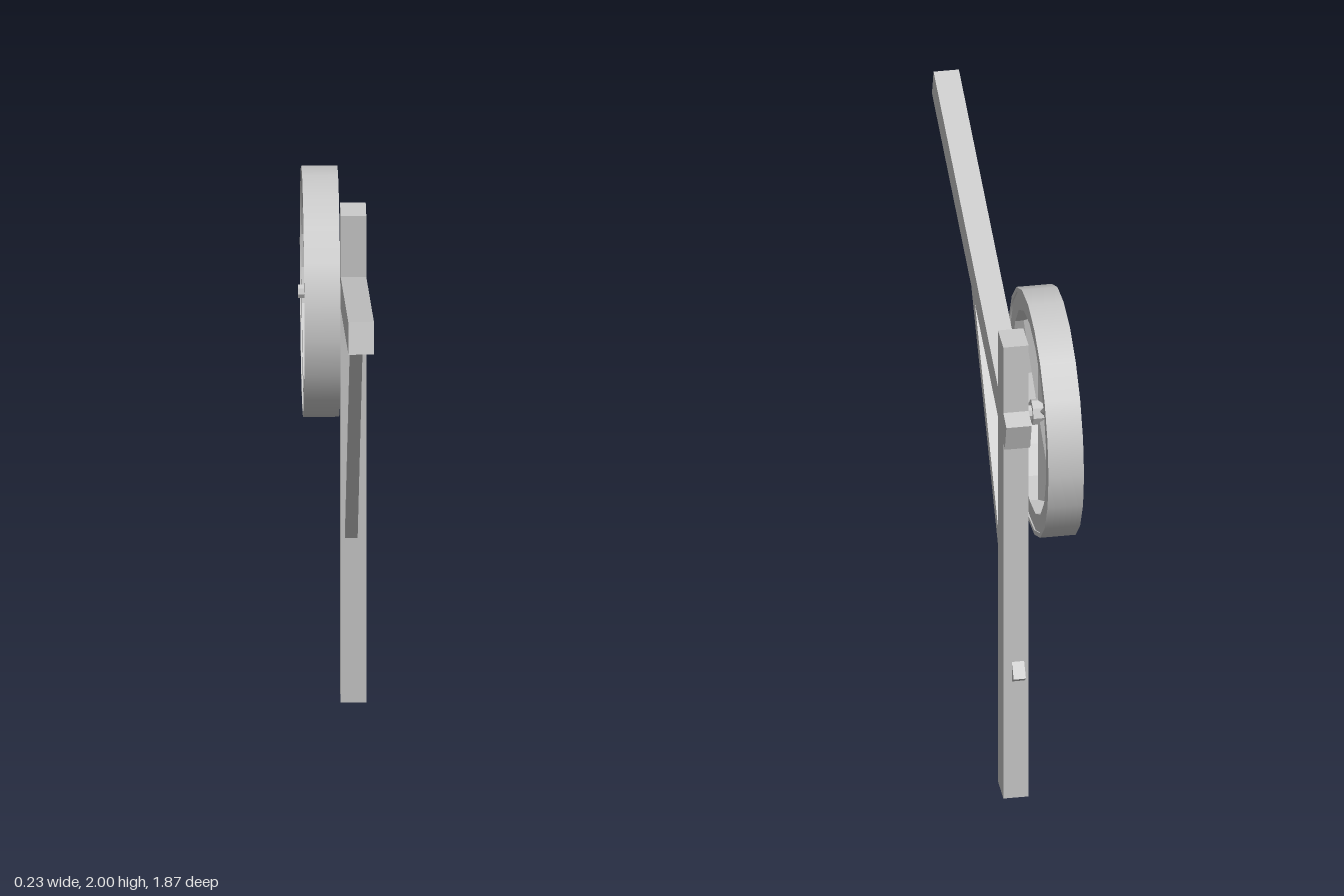
import * as THREE from 'three';

const mat = new THREE.MeshStandardMaterial({ color: 0xcccccc, flatShading: true });
const smooth = new THREE.MeshStandardMaterial({ color: 0xcccccc });

function add(parent, name, geometry, material = mat) {
  const mesh = new THREE.Mesh(geometry, material);
  mesh.name = name;
  parent.add(mesh);
  return mesh;
}

// Square timber running between two [z, y] points in the side plane
function beam(parent, name, x, width, thick, [z0, y0], [z1, y1]) {
  const length = Math.hypot(z1 - z0, y1 - y0);
  const mesh = add(parent, name, new THREE.BoxGeometry(width, thick, length));
  mesh.position.set(x, (y0 + y1) / 2, (z0 + z1) / 2);
  mesh.rotation.x = -Math.atan2(y1 - y0, z1 - z0);
}

// One rim block: a faceted arc with its joints lined up on two spokes
function fellowGeometry(inner, outer, width, start, sweep, facets) {
  const points = [];
  for (let i = 0; i <= facets; i++) {
    const a = start + (sweep * i) / facets;
    points.push(new THREE.Vector2(Math.cos(a) * outer, Math.sin(a) * outer));
  }
  for (let i = facets; i >= 0; i--) {
    const a = start + (sweep * i) / facets;
    points.push(new THREE.Vector2(Math.cos(a) * inner, Math.sin(a) * inner));
  }
  const g = new THREE.ExtrudeGeometry(new THREE.Shape(points), { depth: width, bevelEnabled: false });
  return g.translate(0, 0, -width / 2);
}

// Wheel built around local z, later turned so its axle lies along x
function buildWheel() {
  const wheel = new THREE.Group();
  wheel.name = 'wheel';

  // Thin outer band: smooth around, sharp at its corners
  const R = 0.428, r = 0.412, h = 0.061;
  const corners = [[r, -h], [R, -h], [R, h], [r, h], [r, -h]];
  for (let i = 0; i < 4; i++) {
    const side = corners.slice(i, i + 2).map(([a, b]) => new THREE.Vector2(a, b));
    add(wheel, 'tyre', new THREE.LatheGeometry(side, 20).rotateX(Math.PI / 2), smooth);
  }

  for (let i = 0; i < 6; i++) {
    const a = Math.PI / 6 + (i * Math.PI) / 3;
    add(wheel, 'rimBlock', fellowGeometry(0.352, 0.42, 0.112, a, Math.PI / 3, 3));
    // Four-sided spoke with an edge facing outward
    const spoke = new THREE.CylinderGeometry(0.027, 0.027, 0.34, 4);
    spoke.translate(0, 0.195, 0).rotateZ(a - Math.PI / 2);
    add(wheel, 'spoke', spoke);
  }

  add(wheel, 'hub', new THREE.CylinderGeometry(0.045, 0.045, 0.1, 8).rotateX(Math.PI / 2));
  const axle = new THREE.CylinderGeometry(0.025, 0.025, 0.15, 8).rotateX(Math.PI / 2);
  add(wheel, 'axle', axle);

  wheel.rotation.y = Math.PI / 2;
  wheel.position.set(-0.044, 1.498, -0.506);
  return wheel;
}

export function createModel() {
  const model = new THREE.Group();
  model.name = 'wheelPost';

  // Upright, sloping arm and diagonal brace
  beam(model, 'post', 0.068, 0.087, 0.112, [-0.506, 0], [-0.506, 1.8]);
  beam(model, 'arm', 0.068, 0.087, 0.112, [-0.61, 1.465], [0.922, 1.947]);
  beam(model, 'brace', 0.061, 0.042, 0.045, [-0.583, 0.481], [0.465, 1.766]);

  model.add(buildWheel());
  return model;
}
